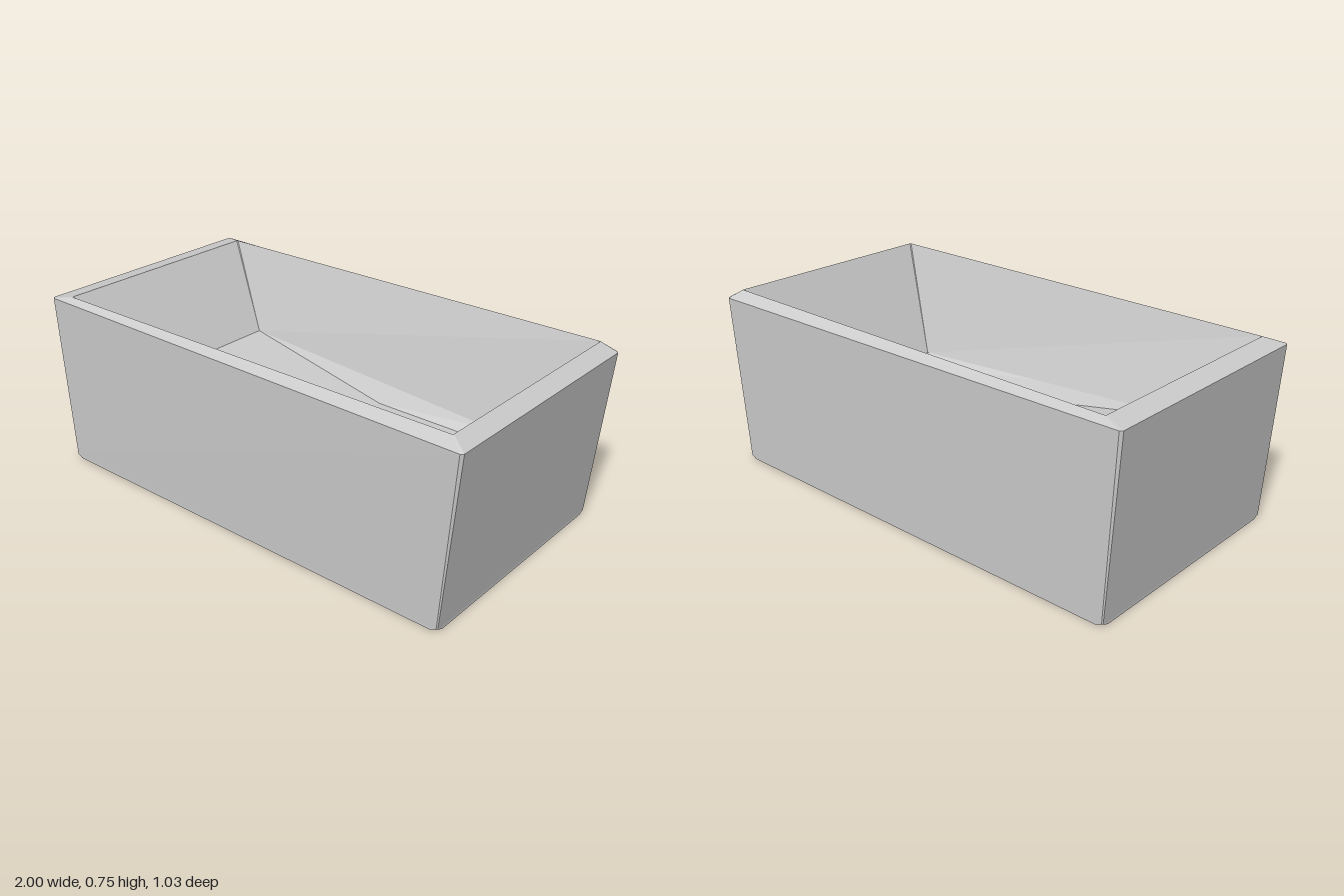
import * as THREE from 'three';

// Eight-point rectangle with clipped corners; height runs from yL (left end) to yR (right end)
function ring(x0, x1, z0, z1, c, yL, yR = yL) {
  const pts = [
    [x1 - c, z1], [x1, z1 - c], [x1, z0 + c], [x1 - c, z0],
    [x0 + c, z0], [x0, z0 + c], [x0, z1 - c], [x0 + c, z1],
  ];
  return pts.map(([x, z]) => [x, yL + (yR - yL) * (x - x0) / (x1 - x0), z]);
}

function quad(out, a, b, c, d) {
  out.push(...a, ...b, ...c, ...a, ...c, ...d);
}

// Joins successive rings with bands of quads
function skin(rings) {
  const out = [];
  for (let r = 0; r < rings.length - 1; r++) {
    const a = rings[r], b = rings[r + 1];
    a.forEach((p, i) => {
      const j = (i + 1) % a.length;
      quad(out, p, a[j], b[j], b[i]);
    });
  }
  return out;
}

function part(name, positions, material) {
  const geo = new THREE.BufferGeometry();
  geo.setAttribute('position', new THREE.Float32BufferAttribute(positions, 3));
  geo.computeVertexNormals();
  const mesh = new THREE.Mesh(geo, material);
  mesh.name = name;
  return mesh;
}

export function createModel() {
  const group = new THREE.Group();
  group.name = 'bathtub';
  const enamel = new THREE.MeshStandardMaterial({ color: 0xcccccc });
  enamel.name = 'enamel';

  const base = ring(-0.96, 0.935, -0.51, 0.5, 0.03, 0);
  const foot = ring(-0.96, 0.935, -0.51, 0.5, 0.004, 0.012);
  const outerRim = ring(-1, 1, -0.513, 0.513, 0.01, 0.728, 0.712);
  const innerRim = ring(-0.91, 0.94, -0.475, 0.48, 0.004, 0.743, 0.75);
  const wallFoot = ring(-0.68, 0.71, -0.365, 0.35, 0, 0.39, 0.3);

  // Outside shell, sloping rim and basin walls
  group.add(part('outerShell', skin([base, foot, outerRim]), enamel));
  group.add(part('rim', skin([outerRim, innerRim]), enamel));
  group.add(part('basinWalls', skin([innerRim, wallFoot]), enamel));

  // Flat underside
  const under = [];
  for (let i = 1; i < 7; i++) under.push(...base[0], ...base[i + 1], ...base[i]);
  group.add(part('underside', under, enamel));

  // Floor: sloping backrest, level middle and coved long sides [x, y, zBack, zFront]
  const stations = [
    [-0.68, 0.39, -0.365, 0.35],
    [0.05, 0.27, -0.32, 0.3],
    [0.58, 0.27, -0.32, 0.3],
    [0.66, 0.275, -0.335, 0.315],
    [0.71, 0.3, -0.365, 0.35],
  ].map(([x, y, zb, zf]) => {
    const top = 0.39 - 0.09 * (x + 0.68) / 1.39;
    return [[x, top, 0.35], [x, y, zf], [x, y, zb], [x, top, -0.365]];
  });
  const floor = [];
  for (let s = 0; s < stations.length - 1; s++) {
    const a = stations[s], b = stations[s + 1];
    for (let k = 0; k < 3; k++) quad(floor, a[k], b[k], b[k + 1], a[k + 1]);
  }
  group.add(part('basinFloor', floor, enamel));

  return group;
}
